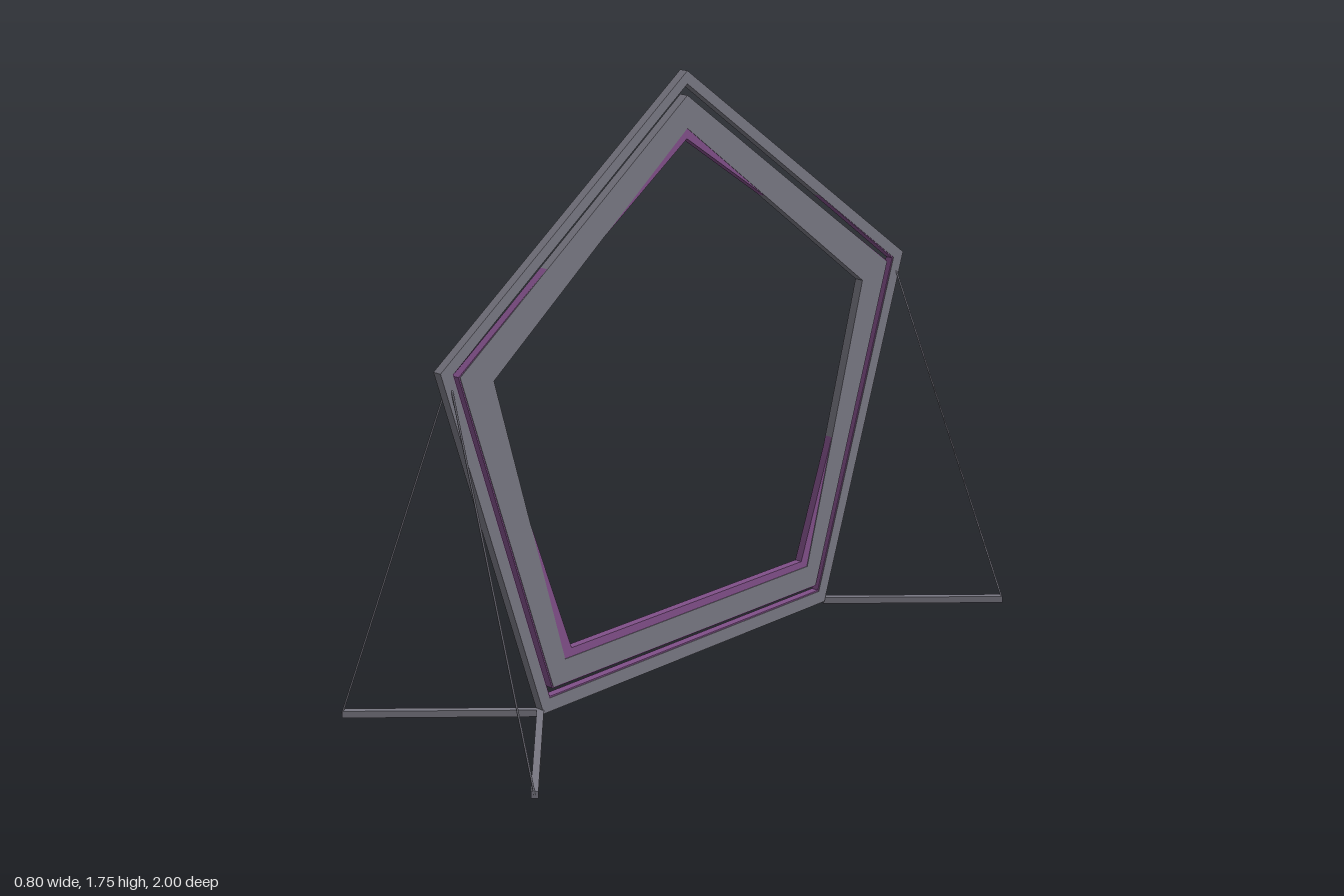
import * as THREE from 'three';

const grey = new THREE.MeshStandardMaterial({ color: 0x787782 });
grey.name = 'frame grey';
const purple = new THREE.MeshStandardMaterial({ color: 0x804f88 });
purple.name = 'core purple';

// Pentagon corners as [z, y]: apex, front shoulder, front foot, back foot, back shoulder
const OUTER_RIM = [[0.02, 1.752], [0.95, 1.07], [0.6, 0.008], [-0.59, 0.02], [-0.935, 1.07]];
const OUTER_HOLE = [[0.02, 1.715], [0.908, 1.06], [0.578, 0.049], [-0.563, 0.06], [-0.89, 1.06]];
const INNER_RIM = [[0.02, 1.683], [0.882, 1.046], [0.562, 0.078], [-0.547, 0.086], [-0.858, 1.052]];
const INNER_HOLE = [[0.02, 1.59], [0.763, 1.012], [0.515, 0.148], [-0.508, 0.156], [-0.745, 1.014]];
const CORE_HOLE = [[0.02, 1.56], [0.8, 1.02], [0.488, 0.174], [-0.482, 0.178], [-0.79, 1.025]];

const THICK = 0.028;
const CORE = 0.024;

// Scale a pentagon slightly about the frame centre
const grow = (pts, k) => pts.map(([z, y]) => [z * k, 0.86 + (y - 0.86) * k]);

// The cores stand proud of the grey walls everywhere but at the apex
const OUTER_CORE_HOLE = [[0.02, 1.722], ...grow(OUTER_HOLE, 0.995).slice(1)];
const INNER_CORE_RIM = [[0.02, 1.676], ...grow(INNER_RIM, 1.005).slice(1)];

// Flat pentagonal ring standing in the YZ plane, centred on x = 0
function ring(name, rim, hole, thickness, material) {
  const points = (list) => list.map(([z, y]) => new THREE.Vector2(-z, y));
  const shape = new THREE.Shape(points(rim));
  shape.holes.push(new THREE.Path(points(hole)));
  const geo = new THREE.ExtrudeGeometry(shape, { depth: thickness, bevelEnabled: false });
  geo.translate(0, 0, -thickness / 2);
  geo.rotateY(Math.PI / 2);
  const mesh = new THREE.Mesh(geo, material);
  mesh.name = name;
  return mesh;
}

// Straight bar between two points
function bar(name, a, b, geo) {
  const from = new THREE.Vector3(...a);
  const to = new THREE.Vector3(...b);
  const mesh = new THREE.Mesh(geo(from.distanceTo(to)), grey);
  mesh.position.copy(from).add(to).multiplyScalar(0.5);
  mesh.lookAt(to);
  mesh.name = name;
  return mesh;
}

export function createModel() {
  const model = new THREE.Group();
  model.name = 'pentagonStand';

  // Two grey rings, each with a slightly thinner purple core showing at its walls
  model.add(ring('outerFrame', OUTER_RIM, OUTER_HOLE, THICK, grey));
  model.add(ring('innerFrame', INNER_RIM, INNER_HOLE, THICK, grey));
  model.add(ring('outerCore', grow(OUTER_HOLE, 1.015), OUTER_CORE_HOLE, CORE, purple));
  model.add(ring('innerCore', INNER_CORE_RIM, CORE_HOLE, CORE, purple));

  // Splayed feet and guy cables at both ends
  const footBar = (len) => new THREE.BoxGeometry(0.02, 0.02, len);
  const cable = (len) => new THREE.CylinderGeometry(0.003, 0.003, len, 6).rotateX(Math.PI / 2);
  for (const end of [1, -1]) {
    const y = end > 0 ? 0.01 : 0.02;
    const shoulder = end > 0 ? 0.908 : -0.902;
    for (const side of [-1, 1]) {
      const tip = [side * 0.393, y, end * 0.991];
      model.add(bar('foot', [0, y, end * 0.6], tip, footBar));
      model.add(bar('guyCable', tip, [0, 1.05, shoulder], cable));
    }
  }
  return model;
}
